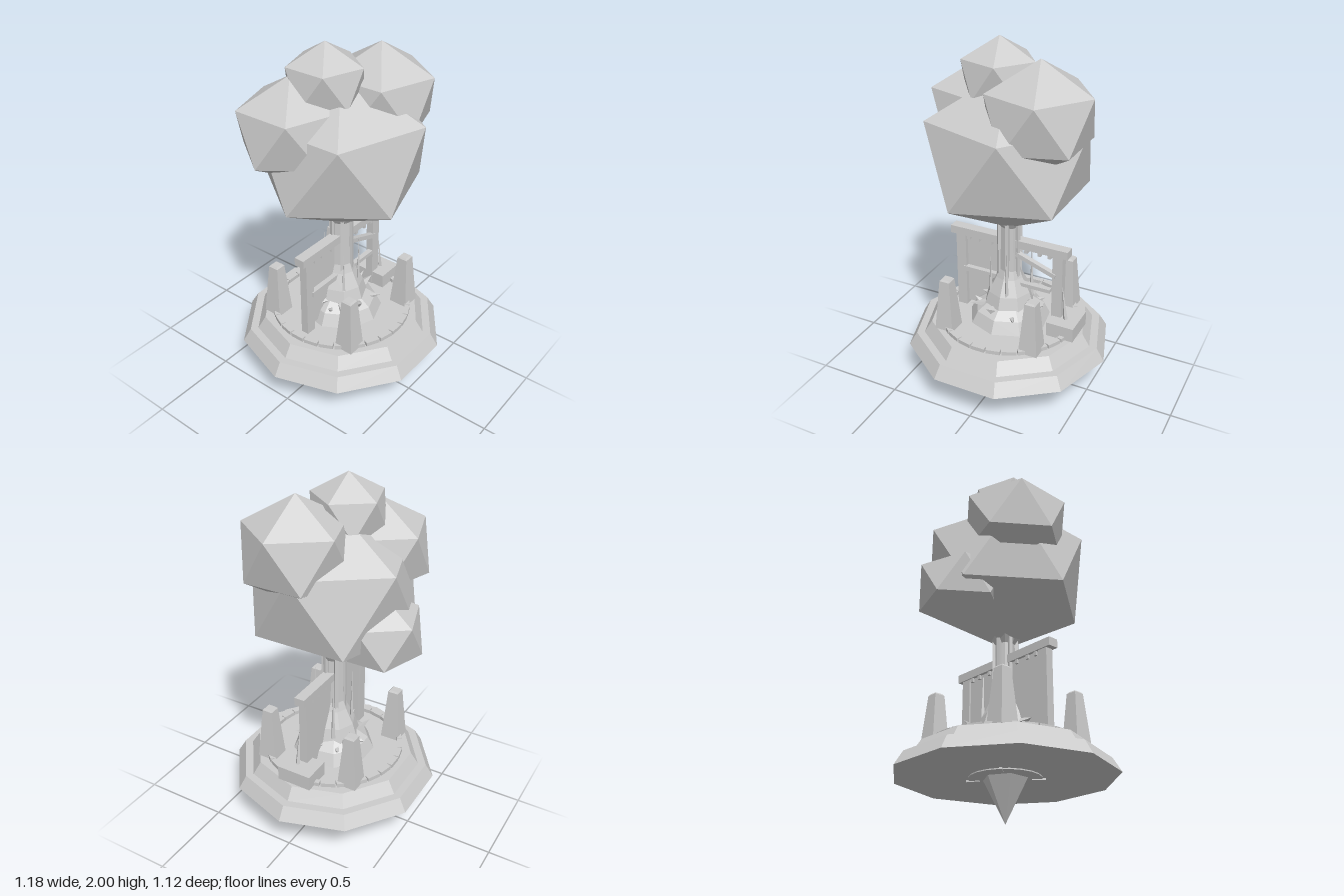
import * as THREE from 'three';
import { ConvexGeometry } from 'three/addons/geometries/ConvexGeometry.js';

const stone = new THREE.MeshStandardMaterial({ color: 0xcccccc, flatShading: true });
stone.name = 'pale grey';
const sheet = stone;

export function createModel() {
  const model = new THREE.Group();
  model.name = 'shrineTree';

  const add = (name, geo, x = 0, y = 0, z = 0, parent = model) => {
    const m = new THREE.Mesh(geo, stone);
    m.name = name;
    m.position.set(x, y, z);
    parent.add(m);
    return m;
  };
  const box = (name, w, h, d, x, y, z, parent) =>
    add(name, new THREE.BoxGeometry(w, h, d), x, y, z, parent);
  const frustum = (name, rTop, rBottom, y0, y1, sides, turn = 0) => {
    const m = add(name, new THREE.CylinderGeometry(rTop, rBottom, y1 - y0, sides), 0, (y0 + y1) / 2, 0);
    m.rotation.y = turn;
    return m;
  };

  // Stepped ten-sided plinth
  frustum('lowerStep', 0.545, 0.59, 0.235, 0.31, 10, Math.PI / 2);
  frustum('upperStep', 0.455, 0.5, 0.31, 0.38, 10, Math.PI / 2);

  // Hanging point below, with a shallow round plate and root ends
  add('hangingPoint', new THREE.ConeGeometry(0.125, 0.24, 6), 0, 0.12, 0).rotation.x = Math.PI;
  frustum('underPlate', 0.19, 0.19, 0.229, 0.24, 20);
  for (let i = 0; i < 4; i++) {
    const a = 0.6 + i * 1.7;
    box('rootEnd', 0.07, 0.012, 0.014, 0.17 * Math.cos(a), 0.23, 0.17 * Math.sin(a)).rotation.y = -a;
  }

  // Ring of kerb stones
  const kerb = new THREE.Group();
  kerb.name = 'kerbRing';
  model.add(kerb);
  const kerbCount = 28;
  for (let i = 0; i < kerbCount; i++) {
    const a = (i / kerbCount) * Math.PI * 2;
    box('kerbStone', 0.03, 0.025, 0.08, 0.385 * Math.cos(a), 0.39, 0.385 * Math.sin(a), kerb).rotation.y = -a;
  }

  // Rocky mound and flared trunk
  const profile = (pts) => pts.map(([r, y]) => new THREE.Vector2(r, y));
  add('mound', new THREE.LatheGeometry(
    profile([[0.235, 0.38], [0.2, 0.45], [0.13, 0.5], [0, 0.52]]), 9));
  add('trunk', new THREE.LatheGeometry(
    profile([[0.15, 0.48], [0.125, 0.56], [0.08, 0.65], [0.062, 0.7], [0.056, 0.97], [0.09, 1.02]]), 8));
  for (let i = 0; i < 6; i++) {
    const a = (i / 6) * Math.PI * 2 + 0.3;
    box('trunkRib', 0.02, 0.36, 0.02, 0.06 * Math.cos(a), 0.83, 0.06 * Math.sin(a)).rotation.y = -a;
  }

  // Shards leaning out of the mound
  const up = new THREE.Vector3(0, 1, 0);
  for (let i = 0; i < 11; i++) {
    const a = (i / 11) * Math.PI * 2 + 0.2 * Math.sin(i * 5);
    const len = 0.11 + 0.03 * Math.sin(i * 3.7);
    const shard = add('shard', new THREE.ConeGeometry(0.036, len, 4),
      0.165 * Math.cos(a), 0.475 + 0.02 * Math.sin(i * 2.3), 0.165 * Math.sin(a));
    const lean = new THREE.Vector3(Math.cos(a), 0.45 + 0.35 * Math.sin(i * 2.9), Math.sin(a));
    shard.quaternion.setFromUnitVectors(up, lean.normalize());
  }

  // Thin spires beside the trunk
  for (const [x, y, z, h, tilt] of [
    [0.03, 0.7, 0.1, 0.38, 0], [-0.03, 0.7, -0.1, 0.38, 0],
    [0.11, 0.68, -0.06, 0.34, 0], [-0.08, 0.66, 0.08, 0.3, 0], [0.345, 0.57, 0.02, 0.23, 0.12],
  ]) add('spire', new THREE.ConeGeometry(0.014, h, 4), x, y, z).rotation.z = tilt;

  // Gate through the trunk
  const gate = new THREE.Group();
  gate.name = 'gate';
  model.add(gate);
  box('gateBeam', 0.72, 0.047, 0.06, 0, 0.872, 0, gate);
  for (const s of [-1, 1]) {
    box('gatePost', 0.06, 0.48, 0.045, s * 0.3, 0.615, 0, gate);
    for (const x of [0.11, 0.19, 0.25])
      box('gatePeg', 0.018, 0.025, 0.05, s * x, 0.838, 0, gate);
  }
  box('gatePanel', 0.23, 0.45, 0.012, -0.165, 0.625, -0.008, gate);
  const back = add('gateBackPanel', new THREE.PlaneGeometry(0.23, 0.45), 0.165, 0.625, -0.012, gate);
  back.rotation.y = Math.PI;
  // Rails, one of them fallen loose
  box('gateRail', 0.25, 0.03, 0.03, -0.16, 0.63, 0.015, gate);
  box('gateRail', 0.22, 0.022, 0.03, 0.15, 0.62, 0.015, gate);
  box('looseRail', 0.25, 0.026, 0.03, 0.17, 0.765, 0.015, gate).rotation.z = -0.34;

  // Offering block
  box('offeringBlock', 0.16, 0.085, 0.2, 0.355, 0.422, 0);

  // Four tapered pillars
  for (const x of [-0.26, 0.26]) for (const z of [-0.26, 0.26]) {
    const shaft = new THREE.CylinderGeometry(0.043, 0.078, 0.305, 4);
    shaft.rotateY(Math.PI / 4);
    add('pillar', shaft, x, 0.532, z);
    const cap = new THREE.CylinderGeometry(0.032, 0.043, 0.01, 4);
    cap.rotateY(Math.PI / 4);
    add('pillarCap', cap, x, 0.689, z);
  }

  // Crown of faceted leaf clumps: r is the ring radius, h the half height
  const clump = (name, x, y, z, r, h) => {
    const pts = [new THREE.Vector3(0, h, 0), new THREE.Vector3(0, -h, 0)];
    for (let i = 0; i < 10; i++) {
      const a = (i * Math.PI) / 5;
      pts.push(new THREE.Vector3(r * Math.cos(a), (i % 2 ? -1 : 1) * h * 0.447, r * Math.sin(a)));
    }
    add(name, new ConvexGeometry(pts), x, y, z);
  };
  clump('mainLeaves', 0, 1.4, 0, 0.443, 0.447);
  clump('leftLeaves', 0.21, 1.662, 0.09, 0.28, 0.288);
  clump('topLeaves', -0.077, 1.796, -0.04, 0.2, 0.204);
  clump('rightLeaves', -0.227, 1.57, -0.137, 0.276, 0.28);
  clump('backLeaves', 0.04, 1.226, -0.285, 0.235, 0.233);

  return model;
}
